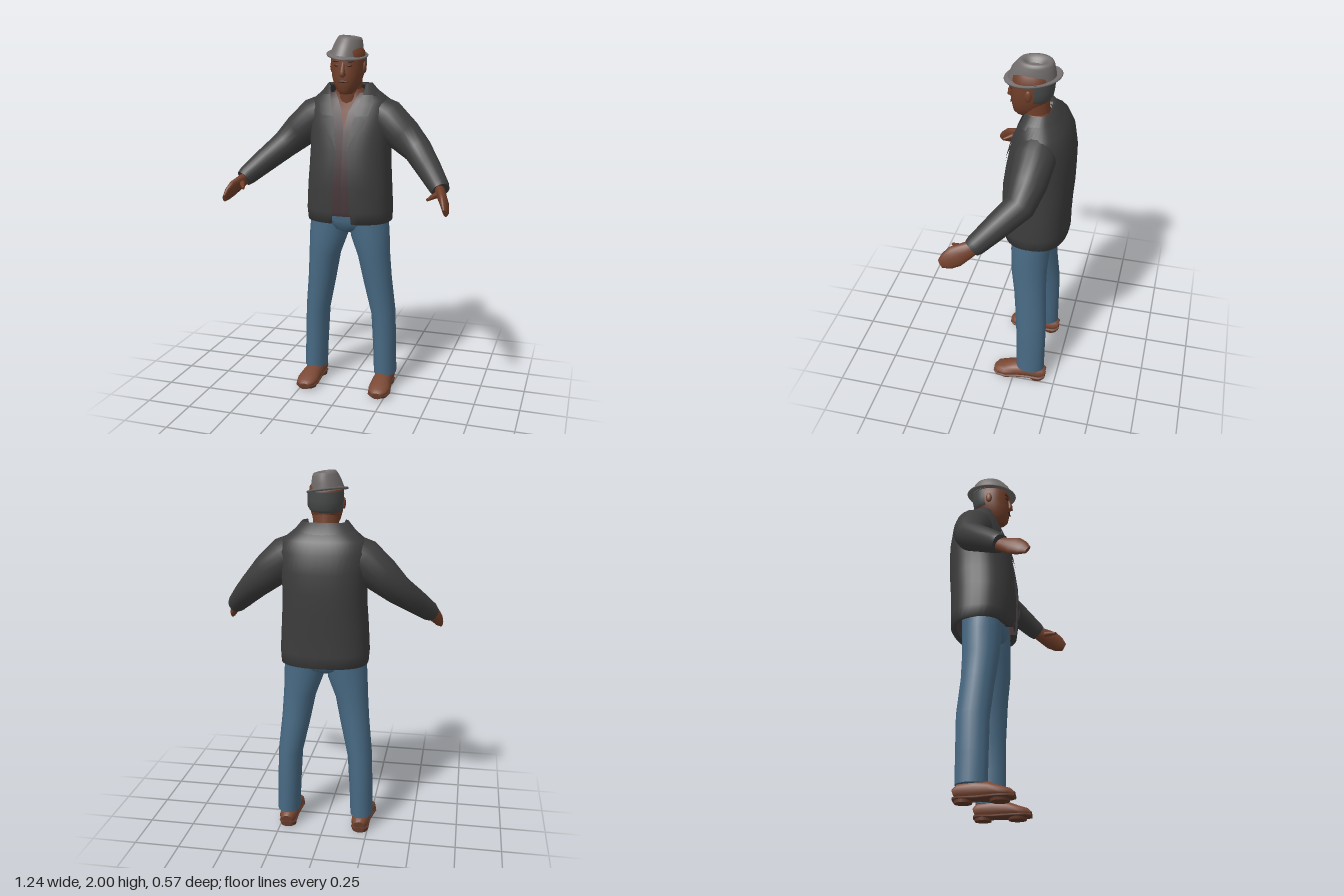
import * as THREE from 'three';

const mat = (name, color, side = THREE.FrontSide) => {
  const m = new THREE.MeshStandardMaterial({ color, side });
  m.name = name;
  return m;
};
const V = (x, y, z) => new THREE.Vector3(x, y, z);

// Skin a list of rings (equal point counts); closed rings wrap, caps fill the ends.
function loft(rings, closed = true, caps = true) {
  const n = rings[0].length, pos = [], idx = [];
  rings.forEach(r => r.forEach(p => pos.push(p.x, p.y, p.z)));
  for (let i = 0; i < rings.length - 1; i++) {
    for (let j = 0; j < (closed ? n : n - 1); j++) {
      const k = (j + 1) % n, a = i * n + j, b = i * n + k, c = b + n, d = a + n;
      idx.push(a, b, c, a, c, d);
    }
  }
  if (closed && caps) {
    [rings[0], rings[rings.length - 1]].forEach((r, end) => {
      const base = pos.length / 3, c = V(0, 0, 0);
      r.forEach(p => { pos.push(p.x, p.y, p.z); c.addScaledVector(p, 1 / n); });
      pos.push(c.x, c.y, c.z);
      for (let j = 0; j < n; j++) {
        const a = base + j, b = base + (j + 1) % n;
        end ? idx.push(a, b, base + n) : idx.push(b, a, base + n);
      }
    });
  }
  const g = new THREE.BufferGeometry();
  g.setAttribute('position', new THREE.Float32BufferAttribute(pos, 3));
  g.setIndex(idx);
  g.computeVertexNormals();
  return g;
}

const spow = (v, p) => Math.sign(v) * Math.abs(v) ** p;

// Horizontal rows [y, halfWidth, zFront, zBack, frontGap, backRise].
function shell(rows, { n = 2, seg = 32, open = false, start } = {}) {
  const rings = rows.map(([y, rx, zf, zb, gap = 0, rise = 0]) => {
    const t0 = open ? start ?? Math.asin((gap / rx) ** (n / 2)) : 0;
    const ring = [];
    for (let j = 0; j < (open ? seg + 1 : seg); j++) {
      const t = t0 + (2 * Math.PI - 2 * t0) * j / seg;
      ring.push(V(rx * spow(Math.sin(t), 2 / n), y - rise * Math.cos(t),
        (zf + zb) / 2 + (zf - zb) / 2 * spow(Math.cos(t), 2 / n)));
    }
    return ring;
  });
  return loft(rings, !open);
}

// Limb through sections [x, y, z, radiusAcross, radiusAlongHint]; s mirrors x.
function limb(sections, hint, s = 1, seg = 16) {
  const pts = sections.map(q => V(q[0] * s, q[1], q[2]));
  const h = V(hint[0] * s, hint[1], hint[2]);
  return loft(sections.map((q, i) => {
    const d = pts[Math.min(i + 1, pts.length - 1)].clone().sub(pts[Math.max(i - 1, 0)]).normalize();
    const u = d.clone().cross(h).normalize(), v = u.clone().cross(d);
    return Array.from({ length: seg }, (_, j) => {
      const t = 2 * Math.PI * j / seg;
      return pts[i].clone().addScaledVector(u, q[3] * Math.sin(t)).addScaledVector(v, (q[4] ?? q[3]) * Math.cos(t));
    });
  }));
}

const JACKET = [
  [0.995, 0.235, 0.08, -0.265, 0.055], [1.06, 0.24, 0.088, -0.265, 0.05],
  [1.2, 0.232, 0.095, -0.272, 0.045], [1.3, 0.225, 0.09, -0.28, 0.04],
  [1.4, 0.222, 0.075, -0.283, 0.03], [1.5, 0.228, 0.055, -0.283, 0.045],
  [1.6, 0.235, 0.025, -0.265, 0.065], [1.66, 0.215, 0, -0.235, 0.085],
  [1.7, 0.165, -0.015, -0.2, 0.095], [1.735, 0.12, -0.03, -0.165, 0.1],
];
const CLOTH = 2.5;

// Jacket row at a given height, and the front surface there.
function rowAt(y) {
  let i = 0;
  while (i < JACKET.length - 2 && JACKET[i + 1][0] < y) i++;
  const a = JACKET[i], b = JACKET[i + 1], f = (y - a[0]) / (b[0] - a[0]);
  return a.map((v, k) => v + (b[k] - v) * f);
}
function frontPoint(x, y, lift) {
  const [, rx, zf, zb] = rowAt(y);
  const k = Math.max(0, 1 - Math.min(1, Math.abs(x) / rx) ** CLOTH) ** (1 / CLOTH);
  return V(x, y, (zf + zb) / 2 + (zf - zb) / 2 * k + lift);
}

export function createModel() {
  const root = new THREE.Group();
  const skin = mat('skin brown', 0x713f2a), dark = mat('face dark', 0x43271d);
  const hairMat = mat('hair grey', 0x484b4b, THREE.DoubleSide);
  const hatMat = mat('hat grey', 0x726d6c, THREE.DoubleSide);
  const coat = mat('jacket charcoal', 0x3d3d3d, THREE.DoubleSide);
  const shirtMat = mat('shirt plum', 0x46373a, THREE.DoubleSide);
  const denim = mat('denim blue', 0x486a84);
  const leather = mat('shoe leather', 0x7a4834), soleMat = mat('shoe sole', 0x633a2b);
  const add = (name, geo, m, parent = root) => {
    const mesh = new THREE.Mesh(geo, m);
    mesh.name = name;
    parent.add(mesh);
    return mesh;
  };

  // Jacket body, with the hem turned in, and the standing collar
  add('jacket', shell([[1.0, 0.21, 0.045, -0.235, 0.055], ...JACKET], { n: CLOTH, seg: 40, open: true }), coat);
  add('collar', shell([[1.685, 0.175, 0, -0.212, 0.095], [1.748, 0.122, -0.015, -0.168, 0.1],
    [1.735, 0.105, -0.03, -0.15, 0.095]], { n: CLOTH, open: true }), coat);

  // Shirt with a V neck over the chest
  const inset = [...JACKET.slice(0, 7), [1.66, 0.19, -0.005, -0.22], [1.7, 0.13, -0.012, -0.18]]
    .map(([y, rx, zf, zb], i) => [i ? y : 1.035, rx - 0.02, zf - 0.014, zb + 0.03,
      Math.max(0, (y - 1.56) * 0.45)]);
  add('shirt', shell(inset, { n: CLOTH, open: true }), shirtMat);
  add('chest', shell([[1.5, 0.16, 0.025, -0.2], [1.6, 0.15, 0.002, -0.2],
    [1.67, 0.11, -0.02, -0.17], [1.72, 0.07, -0.02, -0.14]], { n: CLOTH }), skin);

  // Head
  add('neck', limb([[0, 1.62, -0.085, 0.072], [0, 1.72, -0.075, 0.068], [0, 1.82, -0.065, 0.072]], [0, 0, 1]), skin);
  const head = [
    [1.695, 0.03, 0.028, -0.05], [1.715, 0.052, 0.043, -0.09], [1.75, 0.07, 0.05, -0.12],
    [1.79, 0.082, 0.056, -0.14], [1.83, 0.088, 0.052, -0.153], [1.88, 0.09, 0.056, -0.158],
    [1.92, 0.086, 0.048, -0.152], [1.955, 0.06, 0.02, -0.12]];
  add('head', shell(head, { n: 2.2 }), skin);
  add('hair', shell([[1.795, 0.08, 0.04, -0.145], [1.81, 0.09, 0.05, -0.158], [1.85, 0.096, 0.055, -0.165],
    [1.9, 0.095, 0.055, -0.167]], { n: 2.2, open: true, start: 1.75 }), hairMat);
  add('nose', limb([[0, 1.79, 0.052, 0.012, 0.008], [0, 1.797, 0.06, 0.02, 0.015],
    [0, 1.815, 0.059, 0.014, 0.013], [0, 1.86, 0.048, 0.009, 0.008]], [0, 0, 1]), skin);
  const blob = (name, x, y, z, sx, sy, sz, m) => {
    const b = add(name, new THREE.SphereGeometry(1, 14, 10), m);
    b.position.set(x, y, z);
    b.scale.set(sx, sy, sz);
    return b;
  };
  blob('mouth', 0, 1.763, 0.053, 0.03, 0.006, 0.004, dark);
  for (const s of [1, -1]) {
    blob('eye', 0.036 * s, 1.846, 0.046, 0.015, 0.006, 0.004, dark).rotation.y = 0.3 * s;
    blob('eyebrow', 0.038 * s, 1.868, 0.046, 0.022, 0.005, 0.004, dark).rotation.y = 0.3 * s;
    blob('ear', 0.091 * s, 1.835, -0.05, 0.01, 0.03, 0.018, skin);
  }

  // Hat: brim curled up behind, tapering crown with a dented top, worn askew
  const hat = new THREE.Group();
  hat.name = 'hat';
  hat.position.set(-0.006, 1.9, 0);
  hat.rotation.z = -0.13;
  root.add(hat);
  add('brim', shell([[-0.004, 0.08, 0.06, -0.155, 0, 0.01], [-0.004, 0.106, 0.092, -0.198, 0, 0.02],
    [0.002, 0.108, 0.094, -0.202, 0, 0.021], [0.006, 0.104, 0.09, -0.197, 0, 0.019],
    [0.004, 0.085, 0.075, -0.168, 0, 0.01]], { seg: 36 }), hatMat, hat);
  add('crown', shell([[-0.004, 0.088, 0.076, -0.172, 0, 0.008], [0.045, 0.077, 0.052, -0.168],
    [0.08, 0.066, 0.025, -0.162], [0.094, 0.058, 0.012, -0.155], [0.097, 0.046, 0, -0.142],
    [0.085, 0.028, -0.015, -0.12], [0.068, 0.012, -0.03, -0.1]], { seg: 36 }), hatMat, hat);

  // Jeans seat joining the legs
  add('jeansSeat', shell([[0.925, 0.03, -0.03, -0.13], [0.95, 0.1, 0.015, -0.175],
    [1.0, 0.205, 0.032, -0.195], [1.07, 0.2, 0.035, -0.2]], { n: CLOTH }), denim);

  for (const s of [1, -1]) {
    const side = s > 0 ? 'left' : 'right';

    // Lapel strip with a notch, and pocket flap, laid over the jacket front
    const strip = (rows, lift) => loft(rows.map(([y, x0, x1]) => Array.from({ length: 6 }, (_, j) => {
      const f = s > 0 ? j / 5 : 1 - j / 5;
      return frontPoint(s * (x0 + (x1 - x0) * f), y, lift);
    })), false);
    const lapel = [[1.4, 0.002], [1.48, 0.045], [1.56, 0.075], [1.575, 0.045], [1.585, 0.07], [1.64, 0.07], [1.69, 0.05]]
      .map(([y, w]) => [y, rowAt(y)[4] - 0.002, rowAt(y)[4] + w]);
    add(side + 'Lapel', strip(lapel, 0.009), coat);
    add(side + 'PocketFlap', strip([[1.13, 0.09, 0.19], [1.19, 0.09, 0.19]], 0.007), coat);

    // Sleeve, hand and thumb
    add(side + 'Sleeve', limb([[0.1, 1.62, -0.11, 0.085], [0.2, 1.56, -0.11, 0.108], [0.3, 1.473, -0.1, 0.097],
      [0.385, 1.395, -0.08, 0.078], [0.47, 1.312, 0.02, 0.066], [0.54, 1.24, 0.105, 0.054],
      [0.552, 1.226, 0.122, 0.047]], [0, 0.6, 0.5], s, 20), coat);
    add(side + 'Hand', limb([[0.535, 1.24, 0.095, 0.028, 0.035], [0.56, 1.21, 0.15, 0.026, 0.046],
      [0.583, 1.184, 0.2, 0.023, 0.056], [0.598, 1.158, 0.24, 0.018, 0.045],
      [0.604, 1.14, 0.27, 0.01, 0.024]], [-0.25, 0.85, 0.45], s), skin);
    add(side + 'Thumb', limb([[0.555, 1.215, 0.145, 0.018], [0.527, 1.206, 0.195, 0.014],
      [0.505, 1.195, 0.235, 0.007]], [0, 1, 0], s, 10), skin);

    // Trouser leg
    add(side + 'Leg', limb([[0.211, 0.09, -0.1, 0.064, 0.083], [0.206, 0.25, -0.1, 0.065, 0.085],
      [0.197, 0.45, -0.1, 0.068, 0.088], [0.165, 0.65, -0.085, 0.08, 0.09], [0.145, 0.8, -0.075, 0.09, 0.1],
      [0.121, 0.92, -0.077, 0.11, 0.107], [0.11, 1.03, -0.08, 0.108, 0.11]], [0, 0, 1], s, 20), denim);

    // Shoe upper, sole and heel
    add(side + 'Shoe', limb([[0.208, 0.045, -0.186, 0.03, 0.03], [0.208, 0.055, -0.16, 0.048, 0.045],
      [0.208, 0.06, -0.08, 0.05, 0.052], [0.211, 0.055, -0.01, 0.055, 0.045], [0.215, 0.044, 0.05, 0.061, 0.032],
      [0.216, 0.038, 0.095, 0.052, 0.024], [0.216, 0.032, 0.116, 0.026, 0.012]], [0, 1, 0], s), leather);
    const sole = [[0.208, -0.19, 0.028], [0.208, -0.16, 0.05], [0.209, -0.08, 0.047], [0.212, -0.01, 0.055],
      [0.216, 0.05, 0.064], [0.216, 0.095, 0.055], [0.216, 0.12, 0.027]];
    add(side + 'Sole', limb(sole.map(([x, z, r]) => [x, 0.022, z, r, 0.013]), [0, 1, 0], s), soleMat);
    const heel = add(side + 'Heel', new THREE.CylinderGeometry(0.047, 0.045, 0.025, 16), soleMat);
    heel.position.set(0.208 * s, 0.0125, -0.14);
    const tread = add(side + 'Tread', new THREE.CylinderGeometry(0.052, 0.048, 0.018, 16), soleMat);
    tread.position.set(0.215 * s, 0.009, 0.045);
  }
  return root;
}
